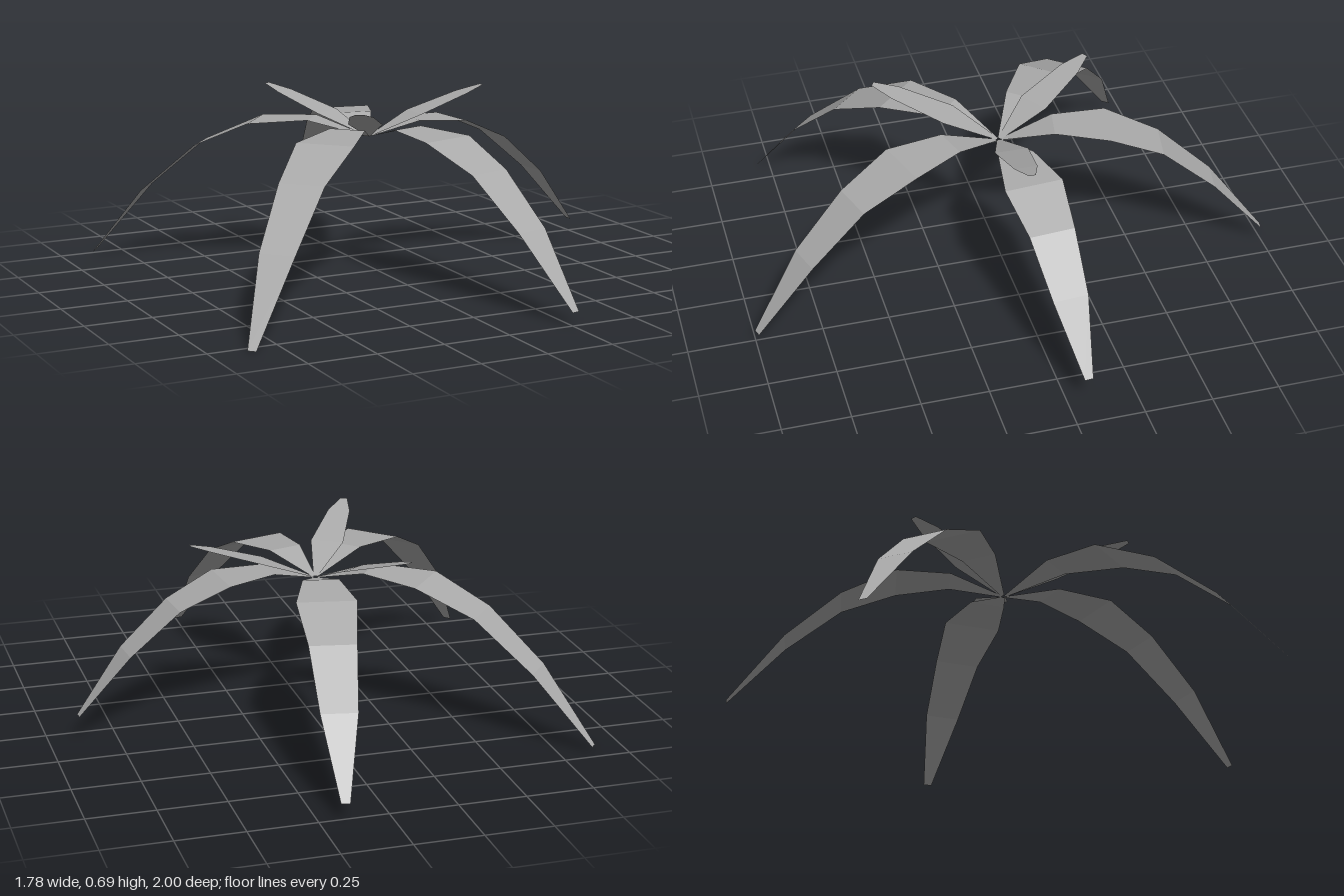
import * as THREE from 'three';

const ROOT = new THREE.Vector3(-0.035, 0.518, 0);

// Leaf sections: [fraction of length outwards, height / length, width]
const DROOPING = [
  [0.01, 0, 0.015], [0.2, 0.055, 0.135], [0.4, 0.042, 0.22],
  [0.6, -0.046, 0.172], [0.8, -0.216, 0.133], [1, -0.457, 0.032],
];
const UPRIGHT = [
  [0.01, 0, 0.015], [0.4, 0.16, 0.125], [0.82, 0.29, 0.085], [1, 0.34, 0.026],
];

// Tips as [x, z]
const LARGE_TIPS = [[0.89, -0.075], [0.265, 0.995], [-0.857, 0.79], [-0.88, -0.7], [0.155, -1]];
const SMALL_TIPS = [[0.44, 0.008], [-0.278, 0.42], [-0.27, -0.405]];

// A flat strip of cross-sections running from the root to the tip
function leafGeometry([x, z], sections) {
  const reach = new THREE.Vector3(x - ROOT.x, 0, z - ROOT.z);
  const length = reach.length();
  const dir = reach.clone().normalize();
  const side = new THREE.Vector3(dir.z, 0, -dir.x);
  const positions = [];
  const index = [];
  sections.forEach(([t, rise, width], i) => {
    const centre = dir.clone().multiplyScalar(t * length).add(ROOT);
    centre.y += rise * length;
    for (const s of [-0.5, 0.5]) {
      positions.push(...centre.clone().addScaledVector(side, s * width).toArray());
    }
    if (i > 0) {
      const a = 2 * (i - 1);
      index.push(a, a + 2, a + 1, a + 1, a + 2, a + 3);
    }
  });
  const indexed = new THREE.BufferGeometry();
  indexed.setAttribute('position', new THREE.Float32BufferAttribute(positions, 3));
  indexed.setIndex(index);
  const geometry = indexed.toNonIndexed();
  geometry.computeVertexNormals();
  return geometry;
}

export function createModel() {
  const group = new THREE.Group();
  group.name = 'palmCrown';
  const leafGrey = new THREE.MeshStandardMaterial({
    color: 0xaaaaaa, side: THREE.DoubleSide, flatShading: true,
  });
  leafGrey.name = 'leafGrey';

  const addLeaves = (name, tips, sections) => tips.forEach((tip, i) => {
    const leaf = new THREE.Mesh(leafGeometry(tip, sections), leafGrey);
    leaf.name = name + (i + 1);
    group.add(leaf);
  });
  addLeaves('droopingLeaf', LARGE_TIPS, DROOPING);
  addLeaves('uprightLeaf', SMALL_TIPS, UPRIGHT);
  return group;
}
